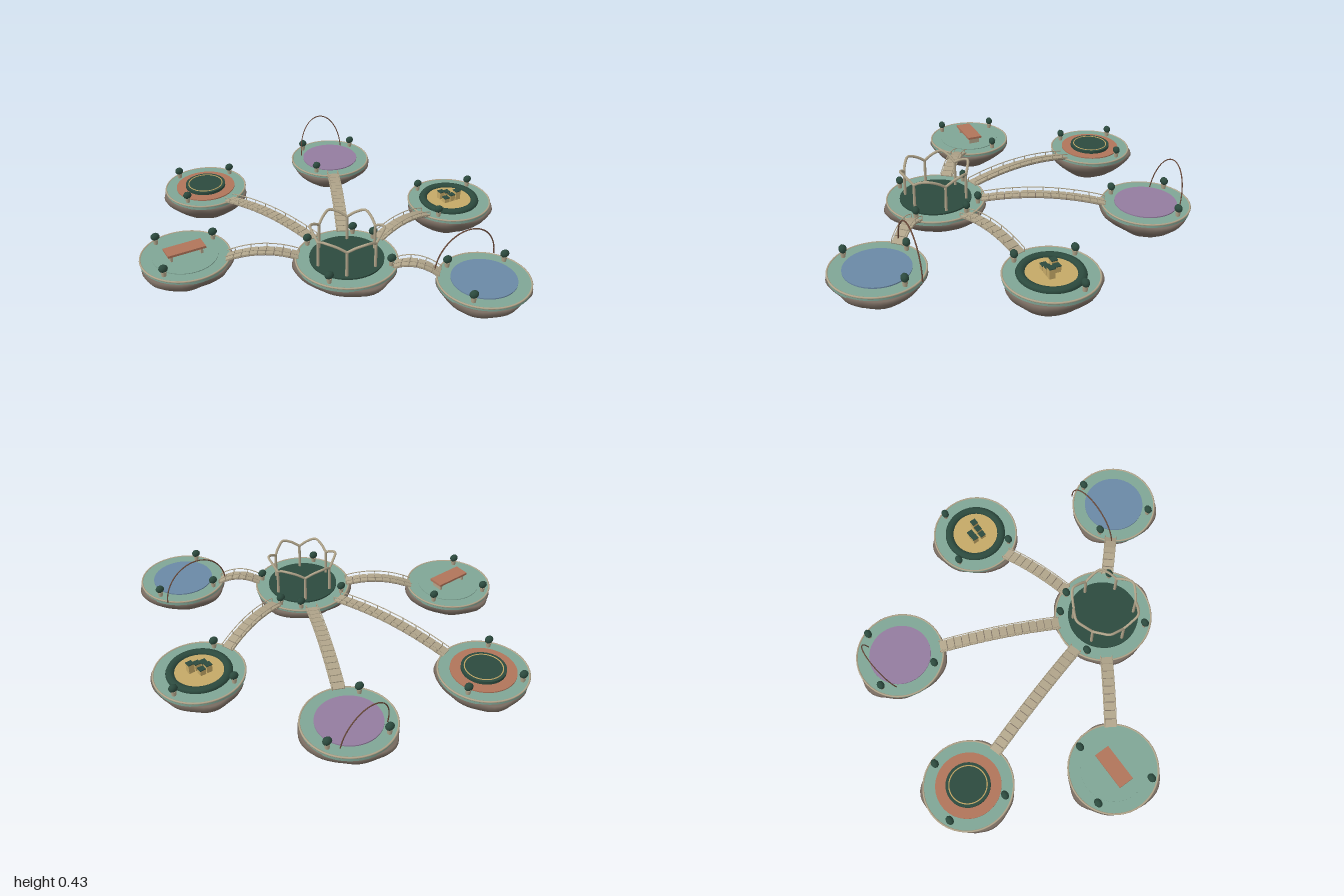
import * as THREE from 'three';
import { mergeVertices } from 'three/addons/utils/BufferGeometryUtils.js';

const mat = (name, color) => Object.assign(new THREE.MeshStandardMaterial({ color }), { name });
const M = {
  rock: mat('rock', 0x786b60),
  teal: mat('tealDeck', 0x7fa595),
  tan: mat('tanWood', 0xb0a48a),
  green: mat('darkGreen', 0x2c4a3e),
  clay: mat('terracotta', 0xb0745a),
  purple: mat('purple', 0x937c9f),
  blue: mat('blue', 0x6a88a5),
  gold: mat('gold', 0xc4a866),
  bronze: mat('bronze', 0x6a4a3a),
};

function add(parent, name, geo, material, x = 0, y = 0, z = 0) {
  const m = new THREE.Mesh(geo, material);
  m.name = name;
  m.position.set(x, y, z);
  parent.add(m);
  return m;
}

// Flat disc with its underside at y
const disc = (parent, name, r, h, material, y = 0) =>
  add(parent, name, new THREE.CylinderGeometry(r, r, h, 48), material, 0, y + h / 2, 0);

function ring(parent, name, r, tube, material, y) {
  const m = add(parent, name, new THREE.TorusGeometry(r, tube, 8, 48), material, 0, y, 0);
  m.rotation.x = -Math.PI / 2;
  return m;
}

const tube = (points, r, n = 24) =>
  new THREE.TubeGeometry(new THREE.CatmullRomCurve3(points), n, r, 6);

// Hanging bowl of rock: a lathe pushed out into three lobes with shallow folds
function rockGeometry(r, depth, lobeAngle) {
  const profile = [[0, 1], [0.15, 0.985], [0.32, 0.92], [0.55, 0.76], [0.78, 0.53],
    [0.93, 0.34], [0.99, 0.2], [0.97, 0.1], [0.6, 0.09], [0, 0.09]];
  let geo = new THREE.LatheGeometry(profile.map(([a, b]) => new THREE.Vector2(a * r, -b * depth)), 56);
  geo.deleteAttribute('uv');
  geo.deleteAttribute('normal');
  geo = mergeVertices(geo, 1e-5);
  const p = geo.attributes.position;
  for (let i = 0; i < p.count; i++) {
    const x = p.getX(i), z = p.getZ(i), a = Math.atan2(z, x) - lobeAngle;
    const lobe = 0.045 * Math.cos(3 * a) + 0.025 * Math.abs(Math.cos(4.5 * a)) + 0.012 * Math.cos(7 * a);
    p.setX(i, x * (1 + lobe));
    p.setZ(i, z * (1 + lobe));
  }
  geo.computeVertexNormals();
  return geo;
}

function shrub(parent, x, z) {
  const g = new THREE.Group();
  g.name = 'shrub';
  g.position.set(x, 0, z);
  parent.add(g);
  add(g, 'planter', new THREE.CylinderGeometry(0.014, 0.011, 0.026, 10), M.tan, 0, 0.013, 0);
  add(g, 'foliage', new THREE.IcosahedronGeometry(1, 1), M.green, 0, 0.043, 0).scale.set(0.024, 0.021, 0.019);
}

const OUTER_SHRUBS = [[-0.095, -0.17], [0.18, -0.075], [-0.153, 0.117]];
const HUB_SHRUBS = [[-0.116, -0.196], [0.138, -0.18], [0.206, -0.09], [0.159, 0.159], [-0.175, 0.138]];

// Hub: green floor with a six-post pergola whose arches lean outwards
function pergola(g) {
  disc(g, 'hubFloor', 0.185, 0.008, M.green);
  const at = (r, a, y) => new THREE.Vector3(r * Math.cos(a), y, r * Math.sin(a));
  for (let i = 0; i < 6; i++) {
    const a = i * Math.PI / 3, h = Math.PI / 6;
    const p = at(0.16, a, 0);
    add(g, 'pergolaPost', new THREE.CylinderGeometry(0.007, 0.008, 0.145, 8), M.tan, p.x, 0.0725, p.z);
    const arch = [at(0.16, a, 0.14), at(0.168, a + h * 0.5, 0.167), at(0.18, a + h, 0.182),
      at(0.168, a + h * 1.5, 0.167), at(0.16, a + 2 * h, 0.14)];
    add(g, 'pergolaArch', tube(arch, 0.007), M.tan);
  }
}

function picnicTable(g) {
  disc(g, 'innerDeck', 0.165, 0.004, M.teal);
  add(g, 'tableTop', new THREE.BoxGeometry(0.2, 0.012, 0.08), M.clay, 0, 0.042, 0);
  for (const x of [-0.08, 0.08])
    add(g, 'tableLeg', new THREE.BoxGeometry(0.012, 0.036, 0.06), M.tan, x, 0.018, 0);
}

function sunkenBowl(g) {
  disc(g, 'terracottaFloor', 0.165, 0.006, M.clay);
  disc(g, 'greenPad', 0.112, 0.022, M.green);
  ring(g, 'goldRing', 0.095, 0.003, M.gold, 0.022);
}

// Leaning thin arch behind a purple floor
function purpleStage(g) {
  disc(g, 'purpleFloor', 0.16, 0.006, M.purple);
  const pts = [];
  for (let i = 0; i <= 12; i++) {
    const a = Math.PI * i / 12, s = Math.sin(a);
    pts.push(new THREE.Vector3(-0.135 * Math.cos(a), 0.21 * s, -0.11 - 0.042 * s));
  }
  add(g, 'leaningArch', tube(pts, 0.003, 40), M.bronze);
}

function bluePool(g) {
  disc(g, 'blueFloor', 0.16, 0.006, M.blue);
  const arch = add(g, 'poolArch', new THREE.TorusGeometry(0.18, 0.0035, 6, 40, Math.PI), M.bronze, 0, 0, -0.155);
  arch.scale.y = 1.06;
}

function goldCourt(g) {
  disc(g, 'goldFloor', 0.145, 0.006, M.gold);
  ring(g, 'greenHedge', 0.142, 0.022, M.green, 0.004).scale.z = 0.8;
  const blocks = [[-0.036, -0.027, 0.045], [0, -0.027, 0.035],
    [-0.036, 0.02, 0.03], [0, 0.02, 0.04], [0.036, 0.02, 0.055]];
  for (const [x, z, h] of blocks) {
    add(g, 'plinth', new THREE.BoxGeometry(0.03, h, 0.03), M.gold, x, h / 2, z);
    add(g, 'plinthCap', new THREE.BoxGeometry(0.032, 0.004, 0.032), M.green, x, h + 0.002, z);
  }
}

const HUB = { name: 'hubIsland', x: -0.07, z: 0.31, r: 0.257, top: 0.235, bottom: 0.07, lobe: 90, build: pergola };
const ISLANDS = [
  { name: 'tableIsland', x: -0.745, z: -0.14, r: 0.23, top: 0.203, bottom: 0.035, lobe: -95, build: picnicTable },
  { name: 'bowlIsland', x: -0.385, z: -0.77, r: 0.23, top: 0.185, bottom: 0, lobe: -62, build: sunkenBowl },
  { name: 'stageIsland', x: 0.38, z: -0.675, r: 0.23, top: 0.22, bottom: 0.05, lobe: -108, build: purpleStage },
  { name: 'courtIsland', x: 0.74, z: 0.045, r: 0.23, top: 0.2, bottom: 0.012, lobe: -75, build: goldCourt },
  { name: 'poolIsland', x: 0.425, z: 0.765, r: 0.23, top: 0.222, bottom: 0.055, lobe: -108, build: bluePool },
];

function island(d) {
  const g = new THREE.Group();
  g.name = d.name;
  g.position.set(d.x, d.top, d.z);
  add(g, 'rockBase', rockGeometry(d.r, d.top - d.bottom, THREE.MathUtils.degToRad(d.lobe)), M.rock);
  disc(g, 'deck', d.r - 0.004, 0.022, M.teal, -0.022);
  ring(g, 'deckTrim', d.r - 0.005, 0.005, M.tan, -0.002);
  d.build(g);
  for (const [x, z] of d === HUB ? HUB_SHRUBS : OUTER_SHRUBS) shrub(g, x, z);
  return g;
}

// Arched plank bridge from the hub to an island, with thin rails; local +x runs along it
function bridge(d) {
  const g = new THREE.Group();
  g.name = 'bridge';
  const dx = d.x - HUB.x, dz = d.z - HUB.z, dist = Math.hypot(dx, dz);
  g.position.set(HUB.x, 0, HUB.z);
  g.rotation.y = -Math.atan2(dz, dx);
  const start = HUB.r - 0.02, end = dist - d.r + 0.02, len = end - start;
  const at = (t, lift, z) => new THREE.Vector3(start + len * t,
    THREE.MathUtils.lerp(HUB.top, d.top, t) + 0.14 * t * (1 - t) + lift, z);
  const n = Math.round(len / 0.04);
  for (let i = 0; i < n; i++) {
    const a = at(i / n, 0, 0), b = at((i + 1) / n, 0, 0), c = a.clone().lerp(b, 0.5);
    const angle = Math.atan2(b.y - a.y, b.x - a.x), span = a.distanceTo(b);
    add(g, 'plank', new THREE.BoxGeometry(span - 0.004, 0.01, 0.062), M.tan, c.x, c.y, 0).rotation.z = angle;
    add(g, 'beam', new THREE.BoxGeometry(span + 0.001, 0.008, 0.054), M.rock, c.x, c.y - 0.006, 0).rotation.z = angle;
  }
  for (const z of [-0.029, 0.029]) {
    const pts = [];
    for (let i = 0; i <= 8; i++) pts.push(at(i / 8, 0.024, z));
    add(g, 'handrail', tube(pts, 0.0025, 20), M.tan);
    for (let i = 0; i <= n; i += 2) {
      const p = at(i / n, 0.012, z);
      add(g, 'railPost', new THREE.CylinderGeometry(0.0025, 0.0025, 0.024, 6), M.tan, p.x, p.y, p.z);
    }
  }
  return g;
}

export function createModel() {
  const model = new THREE.Group();
  model.name = 'floatingIslands';
  model.add(island(HUB));
  for (const d of ISLANDS) model.add(island(d), bridge(d));
  return model;
}
